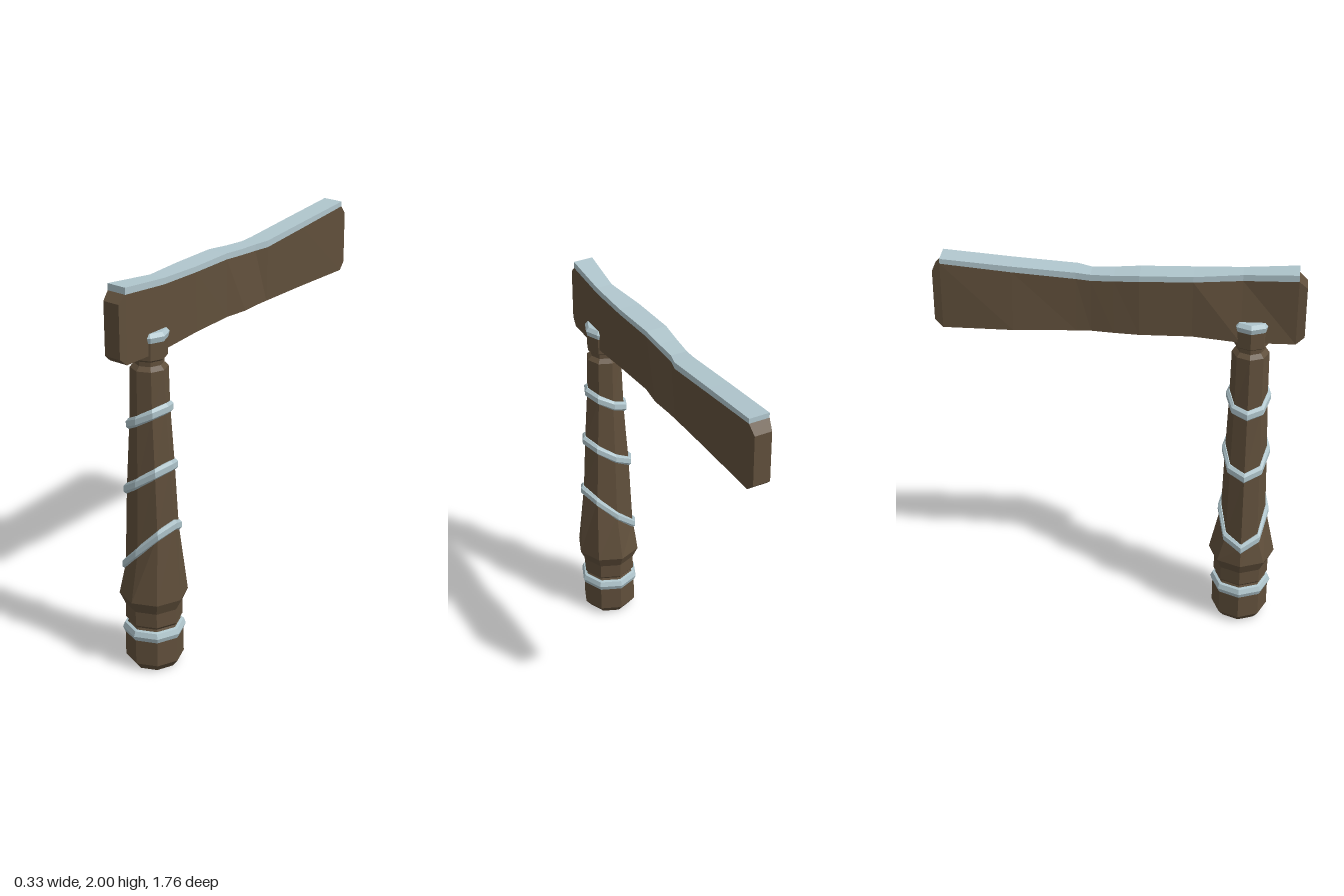
import * as THREE from 'three';

const wood = new THREE.MeshStandardMaterial({ color: 0x604f3b });
wood.name = 'brown wood';
const metal = new THREE.MeshStandardMaterial({ color: 0xb0c6cd });
metal.name = 'pale metal';

const SIDES = 8;
const POST_Z = 0.63;

// Faceted skin over a list of equal loops, closed at both ends.
// Loops run counterclockwise seen from the direction of travel.
function loft(name, loops, material) {
  const pos = [];
  const tri = (a, b, c) => pos.push(...a, ...b, ...c);
  const n = loops[0].length;
  for (let i = 0; i < loops.length - 1; i++) {
    for (let j = 0; j < n; j++) {
      const k = (j + 1) % n;
      const a = loops[i][j], b = loops[i][k], c = loops[i + 1][k], d = loops[i + 1][j];
      tri(a, b, c);
      tri(a, c, d);
    }
  }
  const first = loops[0], last = loops[loops.length - 1];
  for (let j = 1; j < n - 1; j++) {
    tri(first[0], first[j + 1], first[j]);
    tri(last[0], last[j], last[j + 1]);
  }
  const geometry = new THREE.BufferGeometry();
  geometry.setAttribute('position', new THREE.Float32BufferAttribute(pos, 3));
  geometry.computeVertexNormals();
  const mesh = new THREE.Mesh(geometry, material);
  mesh.name = name;
  return mesh;
}

// Octagon around the post axis; tilt lifts the +x side and lowers the -x side.
function octagon(y, tilt, rPlus, rMinus = rPlus, rz = rPlus) {
  return Array.from({ length: SIDES }, (_, i) => {
    const a = (i / SIDES) * Math.PI * 2;
    const c = Math.cos(a), s = Math.sin(a);
    return [c * (c > 0 ? rPlus : rMinus), y + tilt * c, POST_Z - s * rz];
  });
}

// Slanted bands: mid height, tilt, post radius at +x, at -x and along z
const BANDS = [
  [0.635, 0.148, 0.137, 0.15, 0.112],
  [0.995, 0.088, 0.118, 0.13, 0.103],
  [1.31, 0.057, 0.095, 0.103, 0.093],
];

// Bevelled band with its ends sunk into the post
function band(name, y, tilt, rPlus, rMinus, rz, half) {
  const profile = [[-half, -0.02], [-half, 0.004], [-half * 0.55, 0.016], [half * 0.5, 0.016], [half, 0.004], [half, -0.02]];
  return loft(name, profile.map(([dy, dr]) => octagon(y + dy, tilt, rPlus + dr, rMinus + dr, rz + dr)), metal);
}

function makePost() {
  const post = new THREE.Group();
  post.name = 'post';

  // Turned foot, waist and flare, then the tapering shaft and its collar
  const lower = [[0, 0.11], [0.04, 0.142], [0.19, 0.142], [0.235, 0.125], [0.25, 0.138], [0.325, 0.138], [0.385, 0.166]];
  const upper = [[1.555, 0.09], [1.575, 0.07], [1.597, 0.07], [1.61, 0.088], [1.71, 0.088]];
  const plain = ([y, r]) => octagon(y, 0, r);
  post.add(loft('postBody', [
    ...lower.map(plain),
    ...BANDS.map((b) => octagon(...b)),
    ...upper.map(plain),
  ], wood));

  BANDS.forEach((b, i) => post.add(band('slantedBand' + (i + 1), ...b, 0.027)));
  post.add(loft('footBand', [[0.165, 0.135], [0.17, 0.144], [0.195, 0.154], [0.22, 0.144], [0.225, 0.125]].map(plain), metal));
  post.add(loft('capBand', [[1.69, 0.08], [1.695, 0.09], [1.722, 0.097], [1.74, 0.082]].map(plain), metal));
  return post;
}

function makeBeam() {
  const beam = new THREE.Group();
  beam.name = 'beam';

  // Stations back to front:
  // z, bottom y, seam y, top y, lower left x, lower right x, upper left x, upper right x
  const stations = [
    [-0.84, 1.635, 1.975, 2.0, -0.054, 0.05, -0.054, 0.05],
    [-0.5, 1.643, 1.945, 1.975, -0.064, 0.05, -0.05, 0.052],
    [-0.2, 1.648, 1.922, 1.955, -0.045, 0.052, -0.042, 0.058],
    [-0.13, 1.65, 1.918, 1.95, -0.045, 0.055, -0.046, 0.037],
    [-0.02, 1.65, 1.925, 1.955, -0.055, 0.061, -0.055, 0.039],
    [0.1, 1.65, 1.935, 1.965, -0.062, 0.045, -0.065, 0.041],
    [0.35, 1.65, 1.94, 1.968, -0.052, 0.056, -0.055, 0.053],
    [0.58, 1.635, 1.945, 1.976, -0.062, 0.057, -0.026, 0.055],
    [0.84, 1.635, 1.967, 2.0, -0.052, 0.05, -0.052, 0.05],
  ];
  const body = stations.map(([z, b, s, , bl, br, ul, ur]) => [[bl, b, z], [br, b, z], [ur, s, z], [ul, s, z]]);

  // Chamfered ends
  const end = (z) => [[-0.044, 1.67, z], [0.044, 1.67, z], [0.044, 1.93, z], [-0.044, 1.93, z]];
  beam.add(loft('beamBody', [end(-0.88), ...body, end(0.88)], wood));

  // Metal strip along the top edge
  const strip = stations.map(([z, , s, t, , , ul, ur]) => [[ul, s, z], [ur, s, z], [ur, t, z], [ul, t, z]]);
  beam.add(loft('topStrip', strip, metal));
  return beam;
}

export function createModel() {
  const model = new THREE.Group();
  model.name = 'postWithBeam';
  model.add(makePost(), makeBeam());
  return model;
}
